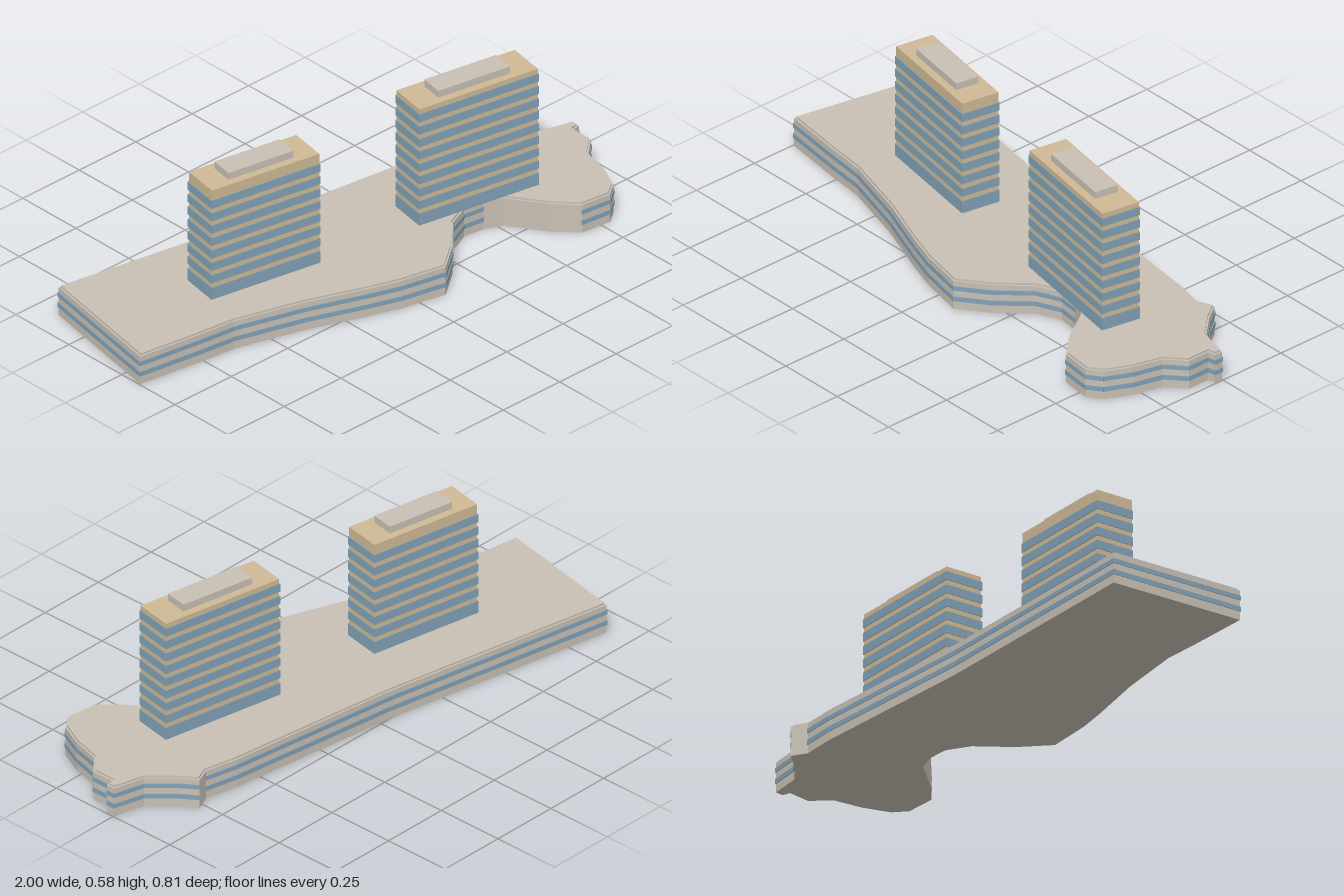
import * as THREE from 'three';
import { mergeGeometries } from 'three/addons/utils/BufferGeometryUtils.js';

const material = (name, color) => {
  const m = new THREE.MeshStandardMaterial({ color });
  m.name = name;
  return m;
};

// podium footprint as [x, z], walked from the back left corner
const OUTLINE = [
  [-0.9, -0.406], [-0.04, -0.25], [0.6, -0.17], [0.715, -0.145], [0.77, -0.168],
  [0.81, -0.11], [0.885, -0.03], [0.996, 0], [0.996, 0.03], [0.967, 0.035],
  [0.967, 0.118], [0.903, 0.174], [0.876, 0.276], [0.833, 0.367], [0.785, 0.402],
  [0.673, 0.388], [0.603, 0.313], [0.518, 0.185], [0.455, 0.155], [0.38, 0.145],
  [0.295, 0.182], [0.196, 0.286], [0.095, 0.361], [-0.07, 0.324], [-0.18, 0.286],
  [-0.387, 0.206], [-0.628, 0.134], [-0.76, 0.118], [-0.997, 0.083],
];
const PLAIN_EDGES = [3, 15, 16, 17]; // solid wall edges without windows
const PODIUM_WALL = 0.105, PODIUM_TOP = 0.112;

// move every outline corner inwards by d along its mitre
function inset(points, d) {
  const n = points.length;
  const normal = (a, b) => new THREE.Vector2(b[1] - a[1], a[0] - b[0]).normalize();
  return points.map((p, i) => {
    const n1 = normal(points[(i + n - 1) % n], p), n2 = normal(p, points[(i + 1) % n]);
    const k = d / (1 + n1.dot(n2));
    return [p[0] - (n1.x + n2.x) * k, p[1] - (n1.y + n2.y) * k];
  });
}

// upright slab over a footprint
function slab(points, y0, y1) {
  const shape = new THREE.Shape(points.map(([x, z]) => new THREE.Vector2(x, -z)));
  return new THREE.ExtrudeGeometry(shape, { depth: y1 - y0, bevelEnabled: false })
    .rotateX(-Math.PI / 2).translate(0, y0, 0);
}

// thin window strips along the outline edges
function windowBand(y0, y1) {
  const strips = [];
  OUTLINE.forEach((a, i) => {
    if (PLAIN_EDGES.includes(i)) return;
    const b = OUTLINE[(i + 1) % OUTLINE.length];
    const dx = b[0] - a[0], dz = b[1] - a[1];
    strips.push(new THREE.BoxGeometry(Math.hypot(dx, dz) + 0.002, y1 - y0, 0.005)
      .rotateY(-Math.atan2(dz, dx))
      .translate((a[0] + b[0]) / 2, (y0 + y1) / 2, (a[1] + b[1]) / 2));
  });
  return mergeGeometries(strips);
}

export function createModel() {
  const stone = material('pale stone', 0xc8c0b4);
  const sand = material('sand facade', 0xcfba95);
  const glass = material('blue glass', 0x82a2b7);

  const model = new THREE.Group();
  model.name = 'twinTowerComplex';
  const add = (parent, name, geometry, mat) => {
    const mesh = new THREE.Mesh(geometry, mat);
    mesh.name = name;
    parent.add(mesh);
    return mesh;
  };
  const box = (w, y0, y1, d) => new THREE.BoxGeometry(w, y1 - y0, d).translate(0, (y0 + y1) / 2, 0);

  // podium
  const podium = new THREE.Group();
  podium.name = 'podium';
  model.add(podium);
  add(podium, 'podiumWalls', slab(OUTLINE, 0, PODIUM_WALL), stone);
  add(podium, 'podiumRoof', slab(inset(OUTLINE, 0.006), PODIUM_WALL, PODIUM_TOP), stone);
  add(podium, 'lowerWindows', windowBand(0.03, 0.047), glass);
  add(podium, 'upperWindows', windowBand(0.07, 0.086), glass);

  // towers with one glass band per storey and a rooftop plant room
  function tower(name, x, z, width, depth, top, floors, roomWidth) {
    const group = new THREE.Group();
    group.name = name;
    group.position.set(x, 0, z);
    group.rotation.y = -0.181;
    add(group, 'towerCore', box(width - 0.005, PODIUM_TOP, top, depth - 0.005), sand);
    const bands = [];
    for (let i = 0; i < floors; i++) {
      const y = (i === 0 ? PODIUM_TOP : 0.127 + i * 0.0473);
      bands.push(box(width, y, 0.157 + i * 0.0473, depth));
    }
    add(group, 'windowBands', mergeGeometries(bands), glass);
    add(group, 'plantRoom', box(roomWidth, top, top + 0.0255, 0.084), stone);
    model.add(group);
  }
  tower('leftTower', 0.436, 0.099, 0.46, 0.143, 0.553, 9, 0.275);
  tower('rightTower', -0.382, -0.035, 0.418, 0.142, 0.526, 8, 0.25);

  return model;
}
